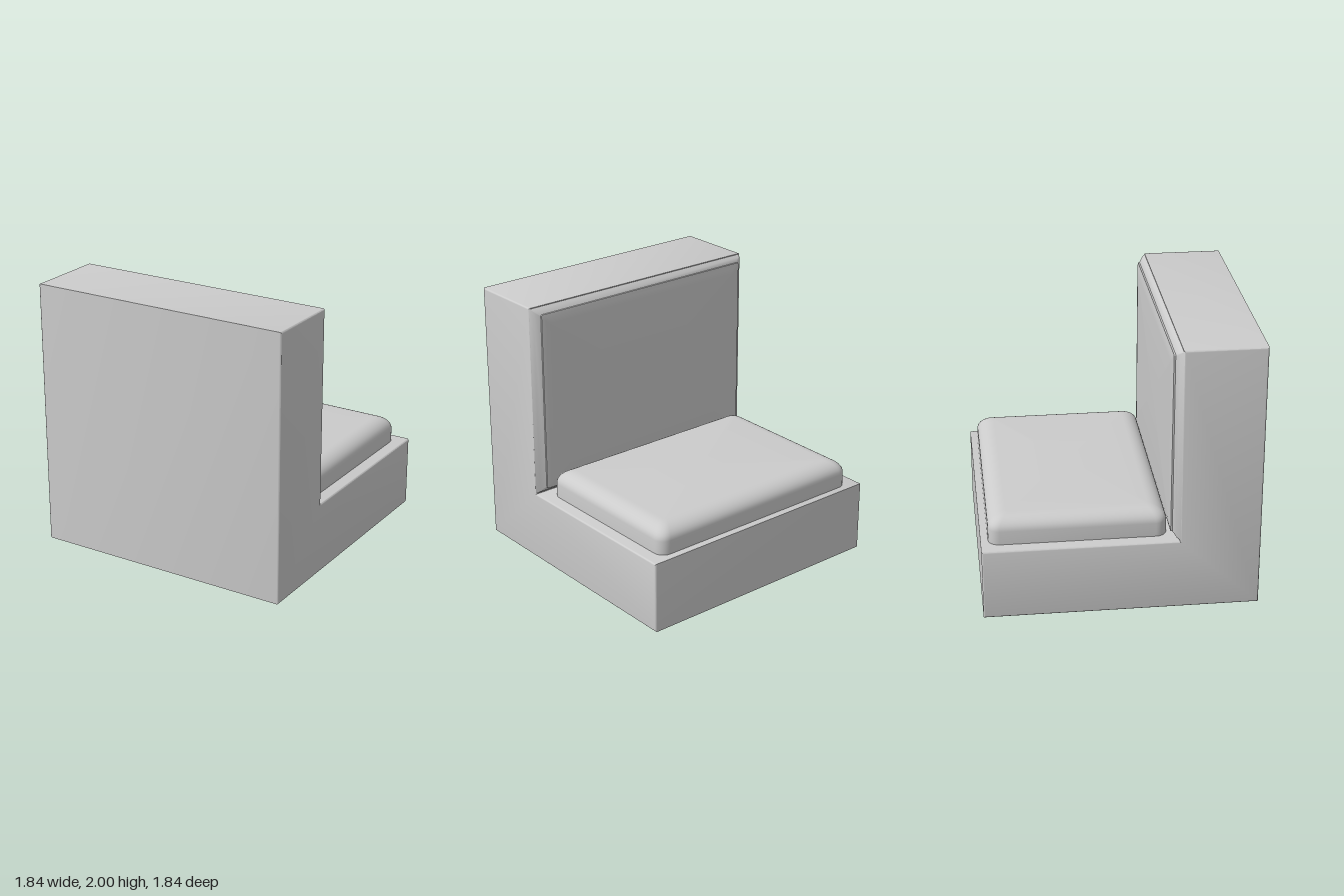
import * as THREE from 'three';
import { toCreasedNormals } from 'three/addons/utils/BufferGeometryUtils.js';

const material = new THREE.MeshStandardMaterial({ color: 0xcccccc });

// Rounded rectangle outline, counter-clockwise: half width, half height, corner radius
function ring(w, h, r, steps = 6) {
  const pts = [];
  [[1, 1], [-1, 1], [-1, -1], [1, -1]].forEach(([sx, sy], q) => {
    for (let i = 0; i <= steps; i++) {
      const a = (q + i / steps) * Math.PI / 2;
      pts.push([sx * (w - r) + r * Math.cos(a), sy * (h - r) + r * Math.sin(a)]);
    }
  });
  return pts;
}

// Stack of rounded rectangles [w, h, r, z] rising along +z, closed by a flat cap
function loft(levels, crease) {
  const pos = [], idx = [];
  const rings = levels.map(([w, h, r]) => ring(w, h, r));
  const n = rings[0].length;
  rings.forEach((pts, i) => pts.forEach(([x, y]) => pos.push(x, y, levels[i][3])));
  for (let i = 0; i < rings.length - 1; i++) {
    for (let j = 0; j < n; j++) {
      const k = (j + 1) % n, a = i * n, b = a + n;
      idx.push(a + j, a + k, b + k, a + j, b + k, b + j);
    }
  }
  const last = (rings.length - 1) * n, centre = rings.length * n;
  pos.push(0, 0, levels[levels.length - 1][3]);
  for (let j = 0; j < n; j++) idx.push(last + j, last + (j + 1) % n, centre);
  const geo = new THREE.BufferGeometry();
  geo.setAttribute('position', new THREE.Float32BufferAttribute(pos, 3));
  geo.setIndex(idx);
  return toCreasedNormals(geo, crease);
}

export function createModel() {
  const group = new THREE.Group();
  const add = (name, geo, x = 0, y = 0, z = 0) => {
    const mesh = new THREE.Mesh(geo, material);
    mesh.name = name;
    mesh.position.set(x, y, z);
    group.add(mesh);
    return mesh;
  };

  // L-shaped frame: side profile (z, y) extruded across the width with a fine bevel
  const b = 0.012;
  const profile = new THREE.Shape([
    [-0.92 + b, 0.155 + b], [0.92 - b, 0.155 + b], [0.92 - b, 2 - b],
    [0.38 + b, 2 - b], [0.38 + b, 0.65 - b], [-0.92 + b, 0.65 - b],
  ].map(([z, y]) => new THREE.Vector2(z, y)));
  const frame = new THREE.ExtrudeGeometry(profile, {
    depth: 1.84 - 2 * b, bevelEnabled: true, bevelSize: b, bevelThickness: b, bevelSegments: 3,
  });
  frame.translate(0, 0, -0.92 + b);
  frame.rotateY(-Math.PI / 2);
  add('frame', toCreasedNormals(frame, 0.7));

  // Seat cushion with straight sides and a soft rounded top edge
  const levels = [[0.83, 0.59, 0.075, -0.01]];
  for (let i = 0; i <= 8; i++) {
    const a = (i / 8) * Math.PI / 2, inset = 0.12 * (1 - Math.cos(a));
    levels.push([0.83 - inset, 0.59 - inset, 0.075 - inset * 0.45, 0.095 + 0.09 * Math.sin(a)]);
  }
  const seat = loft(levels, 0.7);
  seat.rotateX(-Math.PI / 2);
  add('seatCushion', seat, 0, 0.65, -0.28);

  // Shallow padded panel on the backrest: sloped border, small step, soft face
  const pad = loft([
    [0.918, 0.673, 0.01, -0.385], [0.90, 0.655, 0.01, -0.36], [0.86, 0.63, 0.01, -0.337],
    [0.86, 0.63, 0.01, -0.326], [0.83, 0.60, 0.01, -0.319], [0.79, 0.56, 0.01, -0.316],
  ].map(([w, h, r, z]) => [w, h, r, -z - 0.70 + 2 * (z + 0.35)]), 0.7);
  pad.rotateY(Math.PI);
  add('backPad', pad, 0, 1.325, 0);

  // Four block feet
  for (const sx of [-1, 1]) {
    for (const sz of [-1, 1]) {
      add('foot', new THREE.BoxGeometry(0.53, 0.17, 0.27), sx * 0.395, 0.085, sz * 0.517);
    }
  }
  return group;
}
